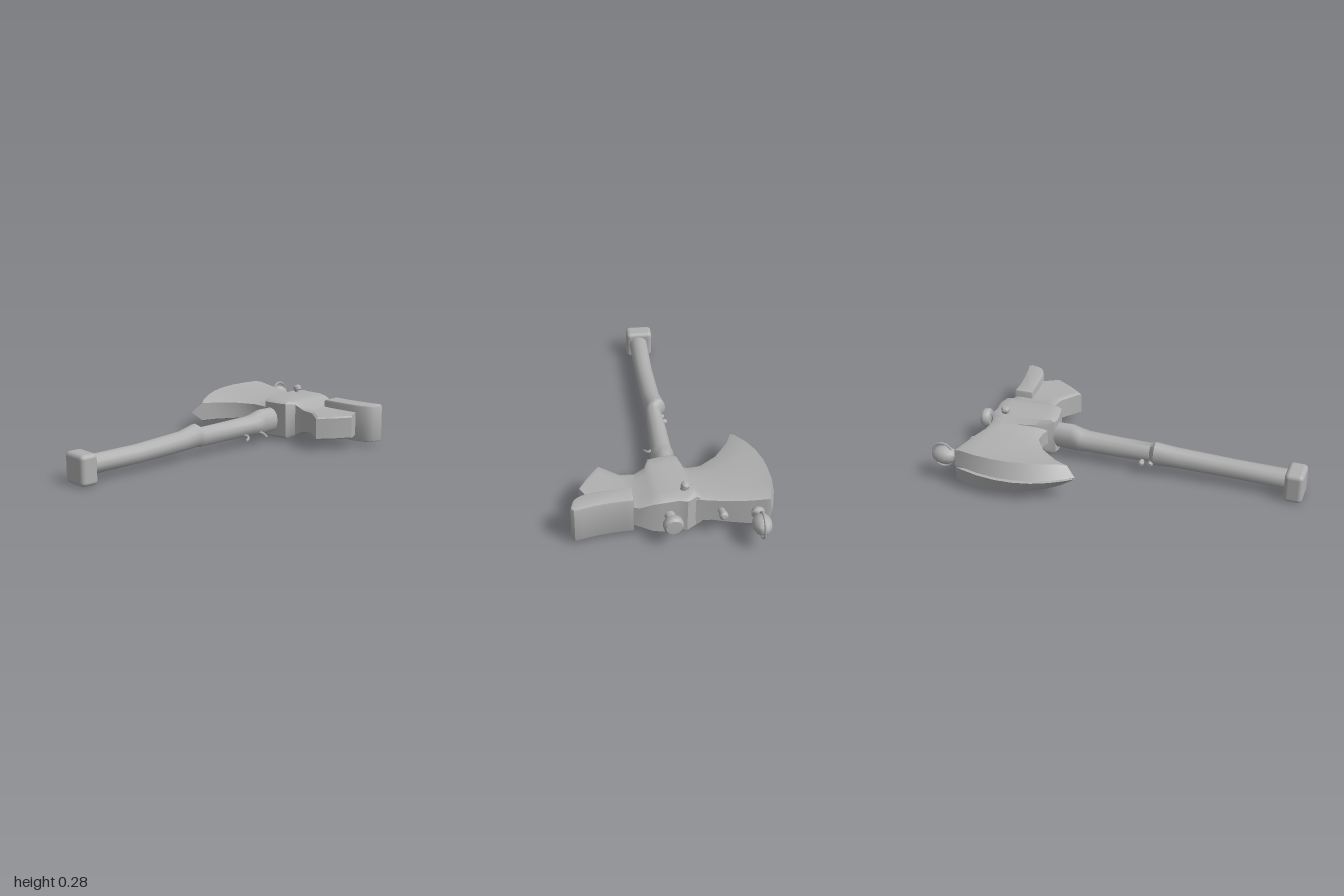
import * as THREE from 'three';
import { toCreasedNormals } from 'three/addons/utils/BufferGeometryUtils.js';
import { RoundedBoxGeometry } from 'three/addons/geometries/RoundedBoxGeometry.js';

const V = (x, y, z) => new THREE.Vector3(x, y, z);

// Closed skin over a list of equal-length rings, with fan caps at both ends.
function loft(rings, crease) {
  const n = rings[0].length, pos = [], idx = [];
  rings.forEach((r) => r.forEach((p) => pos.push(p.x, p.y, p.z)));
  for (let i = 0; i < rings.length - 1; i++) {
    for (let j = 0; j < n; j++) {
      const a = i * n + j, b = i * n + (j + 1) % n;
      idx.push(a, b, a + n, b, b + n, a + n);
    }
  }
  [0, rings.length - 1].forEach((i) => {
    const c = rings[i].reduce((s, p) => s.add(p), V(0, 0, 0)).divideScalar(n);
    const k = pos.length / 3;
    pos.push(c.x, c.y, c.z);
    for (let j = 0; j < n; j++) {
      const a = i * n + j, b = i * n + (j + 1) % n;
      if (i === 0) idx.push(k, b, a); else idx.push(k, a, b);
    }
  });
  // Turn the faces outward if the enclosed volume comes out negative.
  const at = (i) => V(pos[3 * i], pos[3 * i + 1], pos[3 * i + 2]);
  let vol = 0;
  for (let i = 0; i < idx.length; i += 3) vol += at(idx[i]).dot(at(idx[i + 1]).cross(at(idx[i + 2])));
  if (vol < 0) idx.reverse();
  const g = new THREE.BufferGeometry();
  g.setAttribute('position', new THREE.Float32BufferAttribute(pos, 3));
  g.setIndex(idx);
  return toCreasedNormals(g, crease);
}

// Flat slab lofted through sections [backX, backZ, frontX, frontZ, bulge, half height].
function slab(sections, midY, rim, taper) {
  const ts = [0, 0.06, 0.2, 0.35, 0.5, 0.65, 0.8, 0.94, 1];
  return loft(sections.map(([x0, z0, x1, z1, bulge, h]) => {
    const side = (s) => ts.map((t) => {
      const edge = t === 0 || t === 1 ? rim : 1;
      return V(x0 + (x1 - x0) * t + bulge * 4 * t * (1 - t),
        midY + s * h * edge * (1 - taper * t ** 3),
        z0 + (z1 - z0) * t);
    });
    return [...side(1), ...side(-1).reverse()];
  }), 0.6);
}

export function createModel() {
  const root = new THREE.Group();
  root.name = 'battleAxe';
  const metal = new THREE.MeshStandardMaterial({ color: 0xb0b0b0 });
  metal.name = 'plain grey';

  const add = (name, geometry, parent = root) => {
    const m = new THREE.Mesh(geometry, metal);
    m.name = name;
    parent.add(m);
    return m;
  };
  // Points a part's own y axis along a direction, from a base point.
  const aim = (obj, base, dir) => {
    obj.position.copy(base);
    obj.quaternion.setFromUnitVectors(V(0, 1, 0), dir.clone().normalize());
    return obj;
  };
  const lathe = (pts, sides = 16) =>
    toCreasedNormals(new THREE.LatheGeometry(pts.map((p) => new THREE.Vector2(...p)), sides), 0.7);

  // Broad blade, fanning out to a curved bevelled edge
  add('blade', slab([
    [-0.04, -0.70, -0.06, -0.38, 0, 0.08],
    [-0.15, -0.74, -0.14, -0.43, 0, 0.072],
    [-0.23, -0.78, -0.205, -0.44, -0.02, 0.077],
    [-0.33, -0.82, -0.31, -0.40, -0.06, 0.085],
    [-0.39, -0.84, -0.41, -0.32, -0.08, 0.092],
    [-0.415, -0.85, -0.46, -0.255, -0.075, 0.096],
    [-0.43, -0.85, -0.50, -0.21, -0.09, 0.008],
  ], 0.133, 0.9, 0.4));

  // Thick socket that narrows into the flared rear wing
  add('socketAndWing', slab([
    [-0.105, -0.72, -0.105, -0.41, 0, 0.08],
    [-0.075, -0.71, -0.09, -0.37, 0, 0.107],
    [-0.02, -0.73, -0.06, -0.355, 0, 0.109],
    [0.02, -0.71, 0, -0.35, 0, 0.109],
    [0.10, -0.70, 0.06, -0.35, 0, 0.109],
    [0.15, -0.685, 0.095, -0.40, 0, 0.1],
    [0.21, -0.66, 0.15, -0.40, 0, 0.07],
    [0.25, -0.63, 0.22, -0.375, 0, 0.065],
    [0.33, -0.59, 0.305, -0.27, 0, 0.065],
    [0.39, -0.56, 0.385, -0.335, 0, 0.065],
    [0.42, -0.54, 0.455, -0.41, 0, 0.065],
  ], 0.126, 0.88, 0));

  // Wide curved plate on the rear wing
  const outline = new THREE.Shape();
  outline.moveTo(0.235, 0.64);
  outline.lineTo(0.21, 0.54);
  outline.lineTo(0.40, 0.51);
  outline.quadraticCurveTo(0.50, 0.50, 0.53, 0.545);
  outline.lineTo(0.553, 0.59);
  outline.lineTo(0.54, 0.612);
  outline.quadraticCurveTo(0.38, 0.605, 0.235, 0.64);
  const plate = new THREE.ExtrudeGeometry(outline, {
    depth: 0.19, bevelEnabled: true, bevelSize: 0.012, bevelOffset: -0.012,
    bevelThickness: 0.012, bevelSegments: 2, curveSegments: 8,
  });
  plate.rotateX(-Math.PI / 2).translate(0, 0.033, 0);
  add('rearPlate', toCreasedNormals(plate, 0.7));

  // Handle: stations [x, z, half width, mid y, half height]
  const across = V(0.97, 0, 0.24);
  add('handle', loft([
    [-0.35, 0.90, 0.055, 0.092, 0.052],
    [-0.275, 0.60, 0.052, 0.095, 0.052],
    [-0.21, 0.30, 0.053, 0.106, 0.057],
    [-0.197, 0.19, 0.056, 0.117, 0.067],
    [-0.172, 0.165, 0.043, 0.107, 0.056],
    [-0.135, 0, 0.052, 0.108, 0.056],
    [-0.09, -0.18, 0.056, 0.11, 0.058],
    [-0.08, -0.22, 0.064, 0.112, 0.062],
    [-0.065, -0.27, 0.054, 0.118, 0.075],
    [-0.03, -0.42, 0.052, 0.12, 0.07],
  ].map(([x, z, w, y, h]) => Array.from({ length: 12 }, (_, j) => {
    const a = (j / 12) * Math.PI * 2;
    return V(x, y + h * Math.sin(a), z).addScaledVector(across, w * Math.cos(a));
  })), 0.8));

  // Blocky pommel
  const pommel = add('pommel', new RoundedBoxGeometry(0.155, 0.165, 0.1, 3, 0.024));
  pommel.position.set(-0.365, 0.0825, 0.93);
  pommel.rotation.y = -0.249;

  // Bulb finial with a wire loop, on the back corner of the blade
  const finial = new THREE.Group();
  finial.name = 'finial';
  const up = V(0, 1, 0), axis = V(0.2, 0, -0.98).normalize();
  finial.quaternion.setFromRotationMatrix(new THREE.Matrix4().makeBasis(up, axis, up.clone().cross(axis)));
  finial.position.set(-0.36, 0.14, -0.825);
  root.add(finial);
  add('finialBulb', lathe([[0, 0], [0.03, 0], [0.036, 0.018], [0.022, 0.03], [0.022, 0.042],
    [0.036, 0.055], [0.048, 0.085], [0.05, 0.11], [0.042, 0.14], [0.024, 0.163], [0, 0.17]]), finial);
  const loop = add('finialLoop', new THREE.TorusGeometry(0.06, 0.006, 6, 28), finial);
  loop.scale.set(1.15, 1, 1);
  loop.position.y = 0.112;

  // Mushroom knob behind the socket
  aim(add('backKnob', lathe([[0, 0], [0.028, 0], [0.026, 0.065], [0.046, 0.07], [0.052, 0.08],
    [0.052, 0.105], [0.042, 0.118], [0, 0.12]])), V(0.065, 0.137, -0.685), V(0.13, 0, -1));

  // Round-headed pegs on the head
  const peg = [[0, 0], [0.018, 0], [0.018, 0.055], [0.023, 0.06], [0.023, 0.078], [0.014, 0.088], [0, 0.09]];
  aim(add('topPeg', lathe(peg, 10)), V(-0.015, 0.19, -0.64), V(-0.3, 0.95, -0.1));
  aim(add('bladePeg', lathe(peg, 10)), V(-0.195, 0.135, -0.735), V(0.15, 0.1, -1));

  // Bent nails sticking out of the handle
  const nail = (name, base, mid, tip) => add(name, new THREE.TubeGeometry(
    new THREE.CatmullRomCurve3([base, mid, tip]), 8, 0.008, 6));
  nail('upperNail', V(-0.06, 0.08, -0.21), V(-0.01, 0.065, -0.225), V(0.02, 0.05, -0.215));
  nail('middleNail', V(-0.09, 0.08, -0.105), V(-0.04, 0.065, -0.11), V(-0.03, 0.05, -0.075));

  // Two studs on the other side of the handle
  [[-0.15, 0.125], [-0.15, 0.175]].forEach(([x, z], i) =>
    aim(add('handleStud' + (i + 1), lathe(peg.map(([r, y]) => [r * 0.65, y]), 8)),
      V(x, 0.075, z), V(-1, -0.1, -0.15)));

  return root;
}
